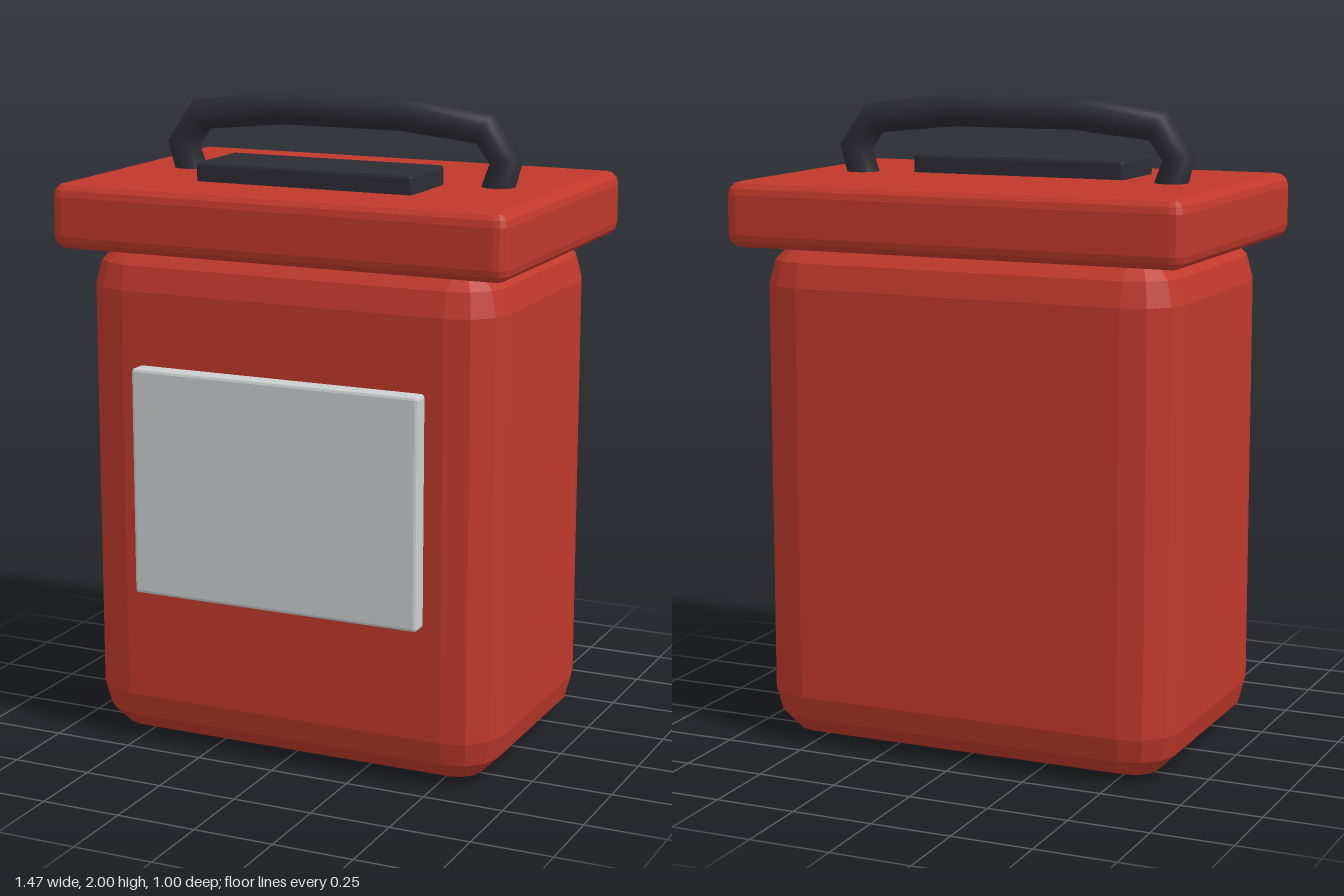
import * as THREE from 'three';
import { ConvexGeometry } from 'three/addons/geometries/ConvexGeometry.js';

const red = new THREE.MeshStandardMaterial({ name: 'red', color: 0xc0392b });
const grey = new THREE.MeshStandardMaterial({ name: 'light grey', color: 0xcbcfcf });
const dark = new THREE.MeshStandardMaterial({ name: 'dark charcoal', color: 0x2c2c34 });

// Box with faceted round edges: the hull of eight sphere octants
function bevelBox(w, h, d, r, steps) {
  const points = [];
  for (const sx of [-1, 1]) for (const sy of [-1, 1]) for (const sz of [-1, 1]) {
    for (let i = 0; i <= steps; i++) {
      const a = (i / steps) * Math.PI / 2;
      const n = i === steps ? 0 : steps; // a single point at the pole
      for (let j = 0; j <= n; j++) {
        const b = n ? (j / n) * Math.PI / 2 : 0;
        points.push(new THREE.Vector3(
          sx * (w / 2 - r + r * Math.cos(a) * Math.cos(b)),
          sy * (h / 2 - r + r * Math.sin(a)),
          sz * (d / 2 - r + r * Math.cos(a) * Math.sin(b))));
      }
    }
  }
  return new ConvexGeometry(points);
}

// Curve whose samples fall exactly on the given corners, so bends stay angular
class CornerCurve extends THREE.Curve {
  constructor(points) {
    super();
    this.points = points;
  }
  getPointAt(u, target = new THREE.Vector3()) {
    return target.copy(this.points[Math.round(u * (this.points.length - 1))]);
  }
  getTangentAt(u, target = new THREE.Vector3()) {
    const p = this.points, i = Math.round(u * (p.length - 1));
    target.set(0, 0, 0);
    if (i > 0) target.add(p[i].clone().sub(p[i - 1]).normalize());
    if (i < p.length - 1) target.add(p[i + 1].clone().sub(p[i]).normalize());
    return target.normalize();
  }
}

export function createModel() {
  const model = new THREE.Group();
  model.name = 'lidded container';
  const add = (name, geometry, material, x, y, z) => {
    const mesh = new THREE.Mesh(geometry, material);
    mesh.name = name;
    mesh.position.set(x, y, z);
    model.add(mesh);
  };

  // Body and overhanging lid
  add('body', bevelBox(1.35, 1.58, 0.88, 0.15, 3), red, 0, 0.79, 0);
  add('lid', bevelBox(1.466, 0.2, 1.0, 0.04, 3), red, 0, 1.65, 0);

  // Blank front panel and pad on the lid
  add('frontPanel', bevelBox(0.936, 0.705, 0.07, 0.01, 2), grey, 0, 0.853, 0.457);
  add('lidPad', bevelBox(0.706, 0.08, 0.25, 0.01, 2), dark, 0, 1.768, 0.15);

  // Angular carrying handle, mirrored about the middle
  const half = [[0.5, 1.7], [0.54, 1.825], [0.475, 1.917], [0.2, 1.95]];
  const path = [...half.map(([x, y]) => [-x, y]), ...half.slice().reverse()]
    .map(([x, y]) => new THREE.Vector3(x, y, 0));
  add('handle', new THREE.TubeGeometry(new CornerCurve(path), path.length - 1, 0.051, 16), dark, 0, 0, 0);

  return model;
}
